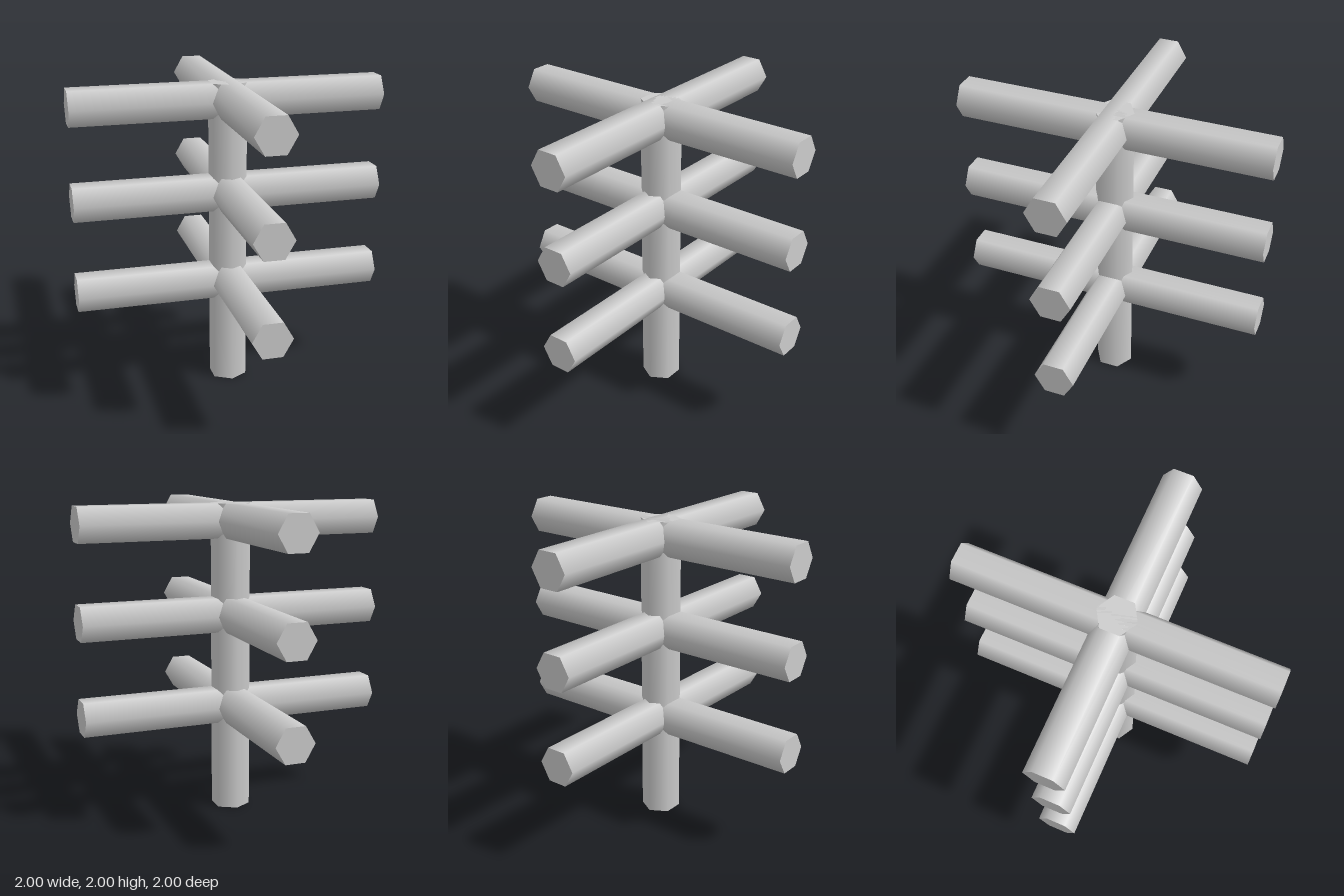
import * as THREE from 'three';

export function createModel() {
  const model = new THREE.Group();
  model.name = 'crossBarPost';
  const material = new THREE.MeshStandardMaterial({ color: 0xcccccc });

  // Six-sided smooth-shaded rod, shared by the post and every bar
  const radius = 0.126;
  const rod = new THREE.CylinderGeometry(radius, radius, 2, 6);

  const addRod = (name, y) => {
    const mesh = new THREE.Mesh(rod, material);
    mesh.name = name;
    mesh.position.y = y;
    model.add(mesh);
    return mesh;
  };

  // Upright post
  addRod('post', 1);

  // Three tiers of crossed bars, flat sides up and down; the top tier is flush with the post
  const topTier = 2 - radius * Math.cos(Math.PI / 6);
  ['upper', 'middle', 'lower'].forEach((tier, i) => {
    const y = topTier - i * 0.6;
    addRod(`${tier}SideBar`, y).rotation.z = Math.PI / 2;
    addRod(`${tier}FrontBar`, y).rotation.set(0, Math.PI / 2, Math.PI / 2);
  });

  return model;
}
